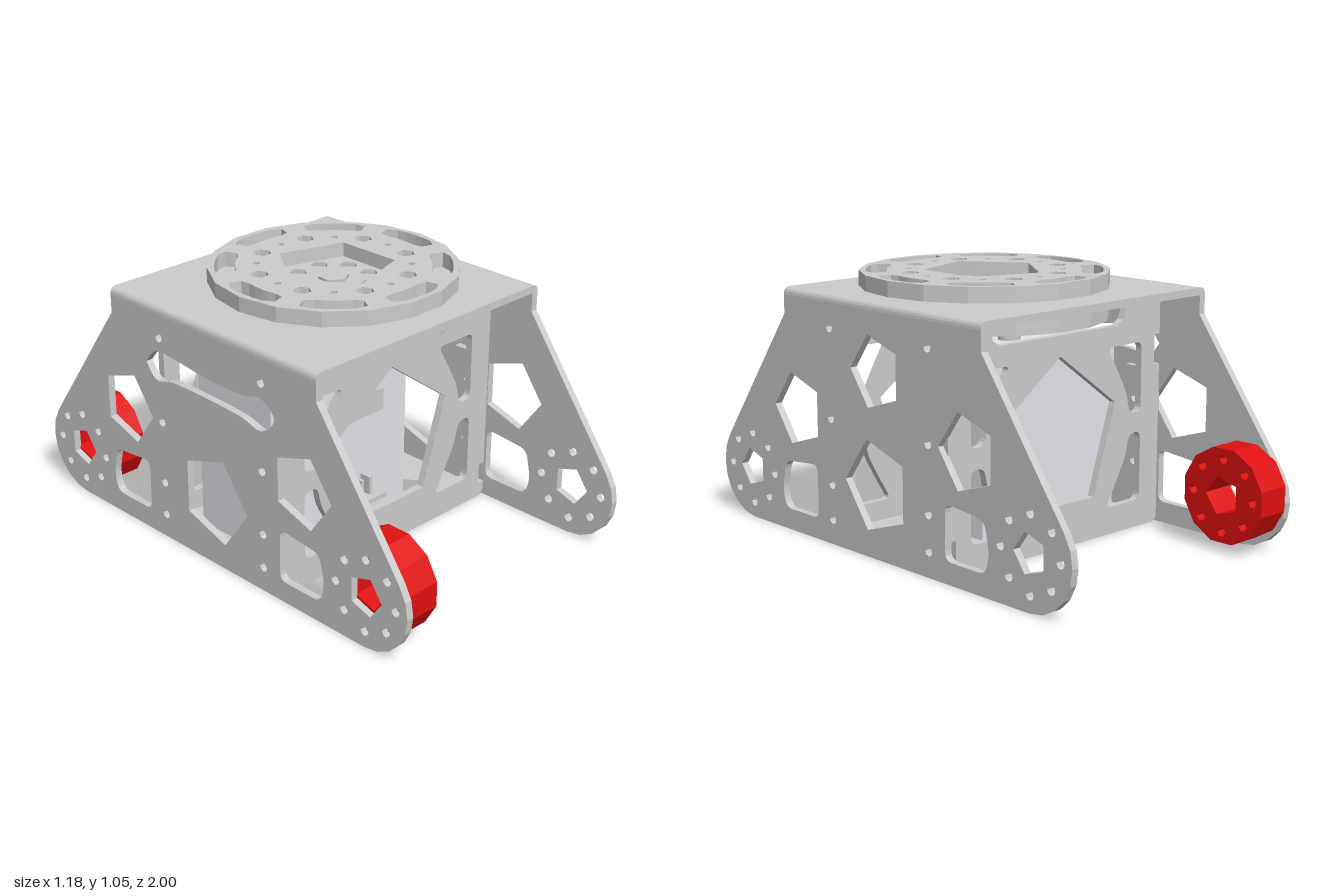
import * as THREE from 'three';

const grey = new THREE.MeshStandardMaterial({ color: 0xcccccc });
const red = new THREE.MeshStandardMaterial({ color: 0xe01010 });
const pale = new THREE.MeshStandardMaterial({ color: 0xe4e2ea });

// Corner points of a regular polygon
function ring(cx, cy, r, n, start = 0) {
  return Array.from({ length: n }, (_, i) => {
    const a = start + (i / n) * Math.PI * 2;
    return new THREE.Vector2(cx + r * Math.cos(a), cy + r * Math.sin(a));
  });
}
const pts = list => list.map(([x, y]) => new THREE.Vector2(x, y));
const curved = list => new THREE.SplineCurve(pts([...list, list[0]])).getPoints(list.length * 4).slice(0, -1);

// Flat sheet with holes, extruded along its local z
function sheet(outline, holes, depth) {
  const shape = new THREE.Shape(outline);
  shape.holes = holes.map(h => new THREE.Path(h));
  return new THREE.ExtrudeGeometry(shape, { depth, bevelEnabled: false, curveSegments: 6 });
}

// Polygon with chamfer-rounded corners
function rounded(list, r) {
  const p = pts(list), out = [];
  p.forEach((c, i) => {
    const a = p[(i + p.length - 1) % p.length], b = p[(i + 1) % p.length];
    const s = c.clone().add(a.clone().sub(c).setLength(r));
    const e = c.clone().add(b.clone().sub(c).setLength(r));
    out.push(...new THREE.QuadraticBezierCurve(s, c, e).getPoints(4));
  });
  return out;
}

export function createModel() {
  const model = new THREE.Group();
  const add = (name, geometry, material = grey, x = 0, y = 0, z = 0) => {
    const mesh = new THREE.Mesh(geometry, material);
    mesh.name = name;
    mesh.position.set(x, y, z);
    model.add(mesh);
    return mesh;
  };
  const box = (name, x0, x1, y0, y1, z0, z1, material) =>
    add(name, new THREE.BoxGeometry(x1 - x0, y1 - y0, z1 - z0), material,
      (x0 + x1) / 2, (y0 + y1) / 2, (z0 + z1) / 2);

  // Side plates, drawn in z and y
  const side = [];
  for (let i = 0; i <= 7; i++) {
    const a = -Math.PI / 2 + (i / 7) * (Math.PI / 2 + 0.64);
    side.push([0.8 + 0.2 * Math.cos(a), 0.2 + 0.2 * Math.sin(a)]);
  }
  side.push([0.56, 0.87], [0.56, 0.945]);
  const sideOutline = pts([...side, ...side.map(([z, y]) => [-z, y]).reverse()]);
  const commonHoles = [ring(0.01, 0.28, 0.185, 5)];
  for (const s of [1, -1]) {
    commonHoles.push(ring(0.485 * s, 0.5, 0.15, 5), ring(0.8 * s, 0.21, 0.08, 5));
    commonHoles.push(...ring(0.8 * s, 0.21, 0.145, 8).map(p => ring(p.x, p.y, 0.019, 8)));
    commonHoles.push(rounded([[0.37, 0.085], [0.58, 0.085], [0.6, 0.16], [0.575, 0.28], [0.37, 0.3]]
      .map(([z, y]) => [z * s, y]), 0.035));
    for (const y of [0.1, 0.24, 0.5, 0.85]) commonHoles.push(ring(0.28 * s, y, 0.019, 8));
  }
  const cableSlot = curved([[-0.36, 0.73], [-0.3, 0.67], [-0.2, 0.69], [0, 0.69], [0.18, 0.68], [0.28, 0.66],
    [0.35, 0.73], [0.28, 0.79], [0.18, 0.77], [0, 0.77], [-0.2, 0.79], [-0.3, 0.79]]);
  const sidePlate = (name, x, upperHole) =>
    add(name, sheet(sideOutline, [...commonHoles, upperHole], 0.03).rotateY(-Math.PI / 2), grey, x);
  sidePlate('leftSidePlate', 0.59, ring(0.01, 0.715, 0.145, 5));
  sidePlate('rightSidePlate', -0.56, cableSlot);

  // Top of the bracket with rounded bends
  const top = new THREE.Shape();
  top.moveTo(-0.59, 0.945);
  top.quadraticCurveTo(-0.59, 0.975, -0.56, 0.975);
  top.lineTo(0.56, 0.975);
  top.quadraticCurveTo(0.59, 0.975, 0.59, 0.945);
  top.closePath();
  add('topPlate', new THREE.ExtrudeGeometry(top, { depth: 1.12, bevelEnabled: false, curveSegments: 5 }),
    grey, 0, 0, -0.56);

  // Front and back panels of the inner frame
  const panelOutline = pts([[-0.54, 0], [0.54, 0], [0.565, 0.025], [0.565, 0.06], [0.53, 0.06], [0.53, 0.145],
    [0.565, 0.145], [0.565, 0.915], [0.4, 0.915], [0.365, 0.9], [0.345, 0.85], [0.31, 0.83],
    [-0.31, 0.83], [-0.345, 0.85], [-0.365, 0.9], [-0.4, 0.915], [-0.565, 0.915],
    [-0.565, 0.77], [-0.53, 0.77], [-0.53, 0.65], [-0.565, 0.65], [-0.565, 0.025]]);
  const panelHoles = [pts([[0, 0.75], [0.305, 0.53], [0.19, 0.17], [-0.19, 0.17], [-0.305, 0.53]])];
  for (const sx of [1, -1]) for (const sy of [1, -1]) {
    panelHoles.push(rounded([[0.26, 0.32], [0.32, 0.22], [0.37, 0.13], [0.39, 0.04], [0.455, 0.04], [0.455, 0.32]]
      .map(([x, y]) => [x * sx, 0.43 + y * sy]), 0.03));
  }
  for (const [name, z] of [['frontPanel', 0.33], ['backPanel', -0.36]])
    add(name, sheet(panelOutline, panelHoles, 0.03), grey, 0, 0, z);

  // Floor of the inner frame
  add('floorPlate', sheet(pts([[-0.555, -0.35], [0.555, -0.35], [0.555, 0.35], [-0.555, 0.35]]),
    [ring(-0.15, 0, 0.22, 5), ring(0.34, 0.16, 0.09, 5), ring(0.34, -0.16, 0.09, 5)], 0.03)
    .rotateX(-Math.PI / 2));

  // Folded flanges bolted to the side plates
  const flange = sheet(pts([[0.21, 0.17], [0.33, 0.17], [0.33, 0.63], [0.21, 0.63]]),
    [0.24, 0.5].map(y => ring(0.28, y, 0.019, 8)), 0.03).rotateY(-Math.PI / 2);
  for (const x of [0.56, -0.53]) for (const s of [1, -1])
    add('flange', flange, grey, x, 0, s > 0 ? 0 : -0.56 + 0.02);

  // Turntable: two slotted discs, a spacer and a shaft
  const cx = 0.05;
  const slots = Array.from({ length: 8 }, (_, i) => {
    const out = [];
    for (const [r, dir] of [[0.375, 1], [0.455, -1]])
      for (let k = -3; k <= 3; k++) {
        const a = (i * Math.PI) / 4 + dir * k * 0.095;
        const rr = Math.abs(k) === 3 ? r + dir * 0.015 : r;
        out.push(new THREE.Vector2(rr * Math.cos(a), rr * Math.sin(a)));
      }
    return out;
  });
  const outerBolts = ring(0, 0, 0.3, 8, Math.PI / 8).map(p => ring(p.x, p.y, 0.036, 6));
  const pinHoles = ring(0, 0, 0.295, 8).map(p => ring(p.x, p.y, 0.015, 6));
  const discHoles = [...slots, ...outerBolts, ...pinHoles, ring(0, 0, 0.235, 5, Math.PI)];
  const disc = sheet(ring(0, 0, 0.483, 18), discHoles, 0.06).rotateX(-Math.PI / 2);
  add('upperDisc', disc, grey, cx, 0.99, 0);
  add('lowerDisc', disc, grey, cx, 0.87, 0);
  const hubHoles = ring(0, 0, 0.147, 8, Math.PI / 8).map(p => ring(p.x, p.y, 0.036, 5));
  add('spacer', sheet(ring(0, 0, 0.335, 20), [...hubHoles, ring(0, 0, 0.03, 6)], 0.065)
    .rotateX(-Math.PI / 2), grey, cx, 0.928, 0);
  add('centreNut', new THREE.CylinderGeometry(0.06, 0.06, 0.012, 6), grey, cx, 0.997, 0);
  add('shaft', new THREE.CylinderGeometry(0.07, 0.07, 0.1, 16), grey, cx, 0.89, 0);
  for (const x of [-0.08, 0.11])
    add('motorScrew', new THREE.CylinderGeometry(0.045, 0.045, 0.09, 12), grey, x, 0.8, 0);

  // Red rollers between the plate ends
  const roller = sheet(ring(0, 0, 0.19, 12, Math.PI / 12),
    [ring(0, 0, 0.08, 5), ...ring(0, 0, 0.142, 8).map(p => ring(p.x, p.y, 0.019, 6))], 0.145)
    .rotateY(-Math.PI / 2);
  add('frontRoller', roller, red, -0.418, 0.222, 0.795);
  add('backRoller', roller, red, -0.418, 0.222, -0.812);

  // Inner housing, motor block and connector board
  box('housing', -0.47, 0.25, 0.05, 0.76, -0.2, 0.2, pale);
  box('motorBlock', -0.45, 0.02, 0.55, 0.64, 0.2, 0.3);
  box('board', -0.22, 0.035, 0.17, 0.19, 0.2, 0.31);
  for (let i = 0; i < 5; i++) box('pin', -0.21 + i * 0.045, -0.195 + i * 0.045, 0.19, 0.265, 0.23, 0.28);
  return model;
}
